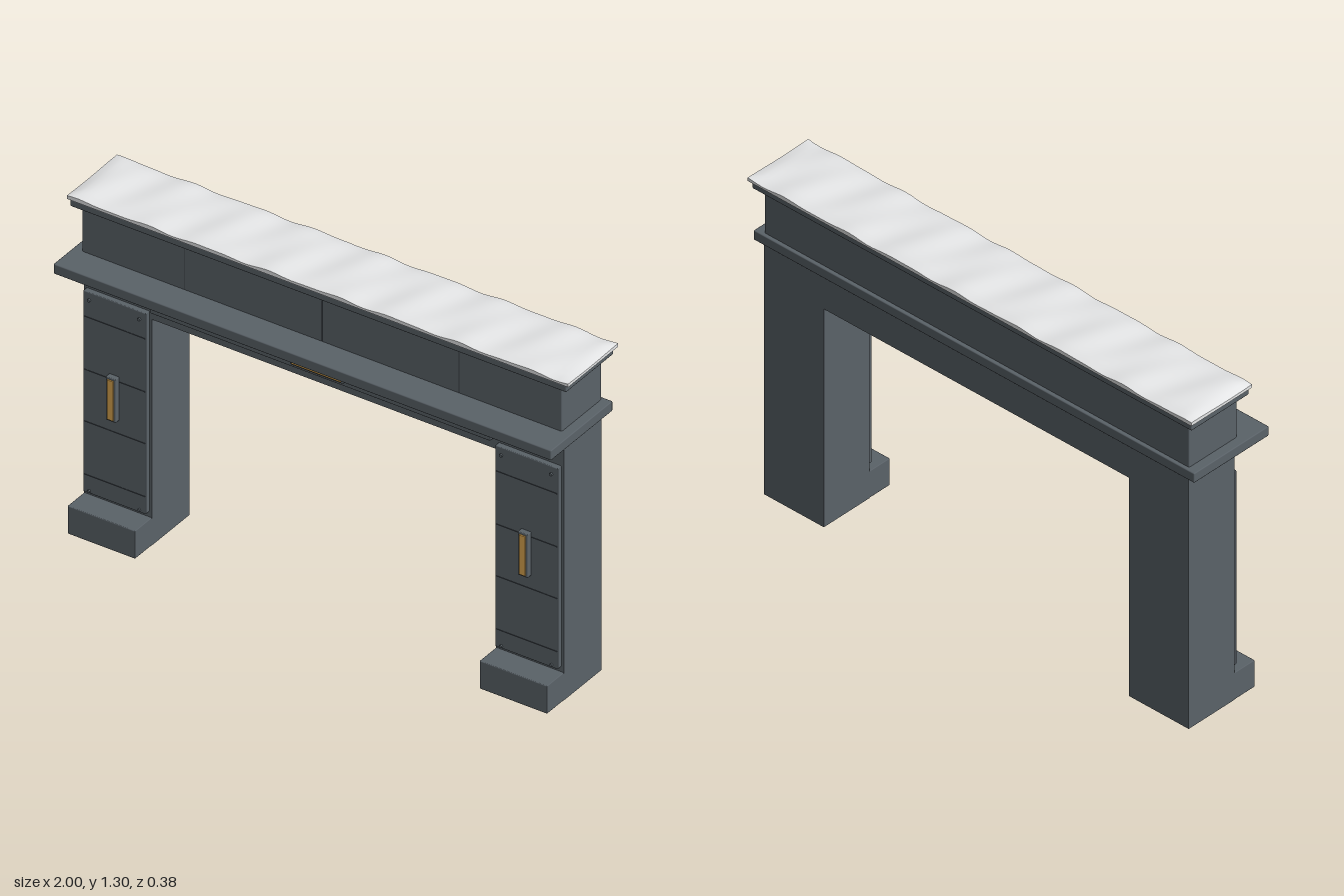
import * as THREE from 'three';
import { RoundedBoxGeometry } from 'three/addons/geometries/RoundedBoxGeometry.js';

const mat = (name, color) => Object.assign(new THREE.MeshStandardMaterial({ color }), { name });

export function createModel() {
  const stone = mat('slate grey', 0x5a6268);
  const seamMat = mat('dark seam', 0x3b4146);
  const amber = mat('amber light', 0xdba650);
  const white = mat('snow white', 0xeeeff0);
  const root = new THREE.Group();
  root.name = 'fireplaceSurround';

  // Box from its lower and upper limits; bevel softens the edges
  const box = (parent, name, material, [x0, x1], [y0, y1], [z0, z1], bevel = 0) => {
    const size = [x1 - x0, y1 - y0, z1 - z0];
    const geo = bevel ? new RoundedBoxGeometry(...size, 1, bevel) : new THREE.BoxGeometry(...size);
    const mesh = new THREE.Mesh(geo, material);
    mesh.name = name;
    mesh.position.set((x0 + x1) / 2, (y0 + y1) / 2, (z0 + z1) / 2);
    parent.add(mesh);
    return mesh;
  };

  // Body: one arch outline, extruded
  const body = new THREE.Group();
  body.name = 'body';
  body.position.x = -0.002;
  root.add(body);
  const arch = new THREE.Shape();
  [[-0.957, 0], [-0.687, 0], [-0.687, 0.895], [0.687, 0.895], [0.687, 0], [0.957, 0],
    [0.957, 1.03], [-0.957, 1.03]].forEach(([x, y], i) => (i ? arch.lineTo(x, y) : arch.moveTo(x, y)));
  const archMesh = new THREE.Mesh(
    new THREE.ExtrudeGeometry(arch, { depth: 0.222, bevelEnabled: false }), stone);
  archMesh.name = 'archBody';
  archMesh.position.z = -0.16;
  body.add(archMesh);

  // Amber strip light in a raised housing
  const light = (parent, cx, cy, w, h) => {
    const span = (c, s) => [c - s / 2, c + s / 2];
    box(parent, 'lightHousing', stone, span(cx, w), span(cy, h), [0.082, 0.105], 0.003);
    box(parent, 'lightStrip', amber, span(cx, w - 0.016), span(cy, h - 0.016), [0.102, 0.11]);
  };

  // Pillars: plinth, panel, seams, bolts and light
  for (const side of [-1, 1]) {
    const pillar = new THREE.Group();
    pillar.name = side < 0 ? 'rightPillar' : 'leftPillar';
    pillar.position.x = side * 0.822;
    body.add(pillar);
    box(pillar, 'plinth', stone, [-0.135, 0.135], [0, 0.11], [0.05, 0.16], 0.003);
    box(pillar, 'panel', stone, [-0.125, 0.125], [0.13, 0.925], [0.058, 0.083], 0.003);
    for (const y of [0.2, 0.41, 0.615, 0.825]) {
      box(pillar, 'panelSeam', seamMat, [-0.122, 0.122], [y - 0.0015, y + 0.0015], [0.082, 0.0845]);
    }
    for (const x of [-0.1, 0.1]) for (const y of [0.14, 0.895]) {
      const bolt = new THREE.Mesh(new THREE.CylinderGeometry(0.006, 0.006, 0.008, 8), stone);
      bolt.name = 'bolt';
      bolt.rotation.x = Math.PI / 2;
      bolt.position.set(x, y, 0.085);
      pillar.add(bolt);
    }
    light(pillar, 0, 0.55, 0.04, 0.172);
  }

  // Lintel panel with its light
  box(body, 'lintelPanel', stone, [-0.678, 0.678], [0.935, 1.017], [0.058, 0.085], 0.003);
  light(body, 0, 0.977, 0.212, 0.04);

  // Mantel shelf, upper block and cap
  box(body, 'mantelShelf', stone, [-0.993, 0.993], [1.032, 1.071], [-0.172, 0.19], 0.004);
  box(body, 'upperBlock', stone, [-0.957, 0.957], [1.068, 1.252], [-0.158, 0.074], 0.004);
  for (const x of [-0.547, 0, 0.547]) {
    box(body, 'blockSeam', seamMat, [x - 0.0015, x + 0.0015], [1.072, 1.25], [0.073, 0.0745]);
  }
  box(body, 'cap', stone, [-0.99, 0.99], [1.25, 1.276], [-0.182, 0.097], 0.004);

  // Snow: a subdivided slab with a domed, rippled top
  const geo = new THREE.BoxGeometry(2, 0.012, 0.294, 96, 1, 14);
  const p = geo.attributes.position;
  for (let i = 0; i < p.count; i++) {
    const x = p.getX(i), z = p.getZ(i);
    const edge = Math.min(1, Math.min(1 - Math.abs(x), 0.147 - Math.abs(z)) / 0.05);
    const wave = 0.003 * Math.sin(x * 25) + 0.0015 * Math.sin(x * 41 + z * 18 + 1);
    if (p.getY(i) > 0) p.setY(i, 0.008 + 0.009 * edge * (2 - edge) + wave);
    else p.setY(i, -0.004);
  }
  geo.computeVertexNormals();
  const snow = new THREE.Mesh(geo, white);
  snow.name = 'snowCover';
  snow.position.set(0, 1.283, -0.044);
  root.add(snow);

  return root;
}
